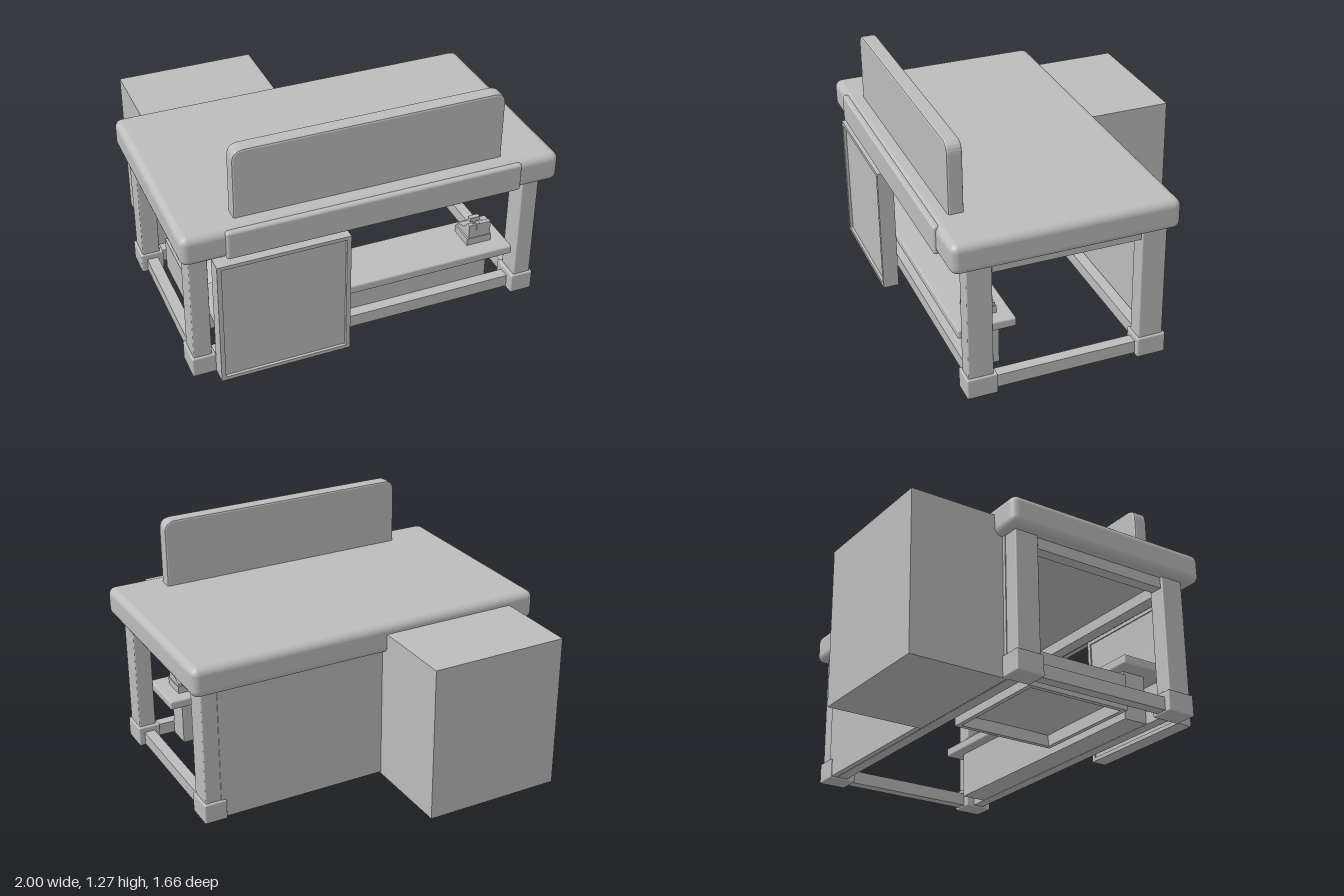
import * as THREE from 'three';
import { RoundedBoxGeometry } from 'three/addons/geometries/RoundedBoxGeometry.js';

export function createModel() {
  const group = new THREE.Group();
  const grey = new THREE.MeshStandardMaterial({ color: 0xbcbcbc });
  grey.name = 'plain grey';
  const greyOpen = new THREE.MeshStandardMaterial({ color: 0xbcbcbc, side: THREE.DoubleSide });
  greyOpen.name = 'plain grey open';

  const add = (name, geometry, material = grey) => {
    const mesh = new THREE.Mesh(geometry, material);
    mesh.name = name;
    group.add(mesh);
    return mesh;
  };
  // Box given by its limits on each axis; r rounds the edges
  const box = (name, [x0, x1], [y0, y1], [z0, z1], r = 0) => {
    const size = [x1 - x0, y1 - y0, z1 - z0];
    const mesh = add(name, r ? new RoundedBoxGeometry(...size, 3, r) : new THREE.BoxGeometry(...size));
    mesh.position.set((x0 + x1) / 2, (y0 + y1) / 2, (z0 + z1) / 2);
    return mesh;
  };

  // Thick rounded roof and fascia board
  box('roof', [-1, 1], [0.74, 0.9], [-0.36, 0.815], 0.04);
  box('fascia', [-0.78, 0.78], [0.74, 0.895], [0.79, 0.828], 0.015);

  // Sign board standing on the roof, upper corners rounded
  const sign = new THREE.Shape();
  sign.moveTo(-0.7, 0.88);
  sign.lineTo(0.7, 0.88);
  sign.lineTo(0.7, 1.21);
  sign.quadraticCurveTo(0.7, 1.262, 0.648, 1.262);
  sign.lineTo(-0.648, 1.262);
  sign.quadraticCurveTo(-0.7, 1.262, -0.7, 1.21);
  const signGeometry = new THREE.ExtrudeGeometry(sign, {
    depth: 0.06, bevelThickness: 0.01, bevelSize: 0.01, bevelSegments: 2, curveSegments: 6,
  });
  add('signBoard', signGeometry).position.z = 0.658;

  // Corner posts with feet, and side rails and beams
  for (const s of [-1, 1]) {
    const span = (a, b) => (s > 0 ? [a, b] : [-b, -a]);
    box('frontPost', span(0.85, 0.945), [0.1, 0.76], [0.6, 0.73], 0.006);
    box('backPost', span(0.85, 0.945), [0.1, 0.76], [-0.312, -0.18], 0.006);
    box('frontFoot', span(0.832, 0.957), [0, 0.112], [0.582, 0.742], 0.008);
    box('backFoot', span(0.832, 0.957), [0, 0.112], [-0.325, -0.17], 0.008);
    box('sideRail', span(0.865, 0.925), [0.01, 0.08], [-0.18, 0.6]);
    box('sideBeam', span(0.865, 0.93), [0.68, 0.75], [-0.2, 0.62]);
  }
  box('frontRail', [-0.84, 0.84], [0.01, 0.08], [0.63, 0.69]);
  box('backRail', [-0.84, 0.84], [0.01, 0.08], [-0.28, -0.22]);
  box('frontBeam', [-0.86, 0.86], [0.68, 0.75], [0.63, 0.7]);
  box('backWall', [-0.86, 0.86], [0.01, 0.75], [-0.316, -0.285]);

  // Storage box behind the stall
  box('storageBox', [-0.84, -0.08], [0, 0.85], [-0.83, -0.3]);

  // Framed front panel
  const frame = new THREE.Shape([
    [-0.835, 0.005], [-0.145, 0.005], [-0.145, 0.71], [-0.835, 0.71],
  ].map(([x, y]) => new THREE.Vector2(x, y)));
  frame.holes.push(new THREE.Path([
    [-0.812, 0.025], [-0.812, 0.69], [-0.168, 0.69], [-0.168, 0.025],
  ].map(([x, y]) => new THREE.Vector2(x, y))));
  add('panelFrame', new THREE.ExtrudeGeometry(frame, { depth: 0.085, bevelEnabled: false })).position.z = 0.743;
  box('panelBoard', [-0.82, -0.16], [0.02, 0.7], [0.75, 0.812]);

  // Counter
  box('counterTop', [-0.82, 0.82], [0.265, 0.315], [0.43, 0.735], 0.01);
  box('counterBody', [-0.73, 0.73], [0.01, 0.27], [0.49, 0.625]);

  // Low bin with a mounded filling
  for (const x of [-0.82, -0.205]) box('binSide', [x, x + 0.025], [0.01, 0.2], [-0.16, 0.43]);
  box('binBack', [-0.8, -0.2], [0.01, 0.2], [-0.16, -0.135]);
  box('binFront', [-0.8, -0.2], [0.01, 0.2], [0.405, 0.43]);
  const mound = new THREE.PlaneGeometry(0.6, 0.55, 12, 12).rotateX(-Math.PI / 2);
  const p = mound.attributes.position;
  for (let i = 0; i < p.count; i++) {
    p.setY(i, 0.07 + 0.12 * Math.cos(p.getX(i) * Math.PI / 0.6) * Math.cos(p.getZ(i) * Math.PI / 0.55));
  }
  mound.computeVertexNormals();
  add('binFilling', mound, greyOpen).position.set(-0.5, 0, 0.135);

  // Cash register, sloping down towards the back
  box('registerBase', [0.6, 0.74], [0.31, 0.355], [0.505, 0.645]);
  const body = new THREE.Shape([
    [-0.51, 0.35], [-0.51, 0.37], [-0.58, 0.395], [-0.6, 0.415], [-0.615, 0.435], [-0.64, 0.435], [-0.64, 0.35],
  ].map(([x, y]) => new THREE.Vector2(x, y)));
  const register = add('registerBody', new THREE.ExtrudeGeometry(body, { depth: 0.125, bevelEnabled: false }));
  register.rotation.y = Math.PI / 2;
  register.position.x = 0.61;
  box('displayPole', [0.634, 0.648], [0.4, 0.46], [0.615, 0.63]);
  box('display', [0.615, 0.67], [0.455, 0.48], [0.61, 0.635]);
  box('receiptSlot', [0.652, 0.67], [0.4, 0.442], [0.615, 0.645]);

  return group;
}
